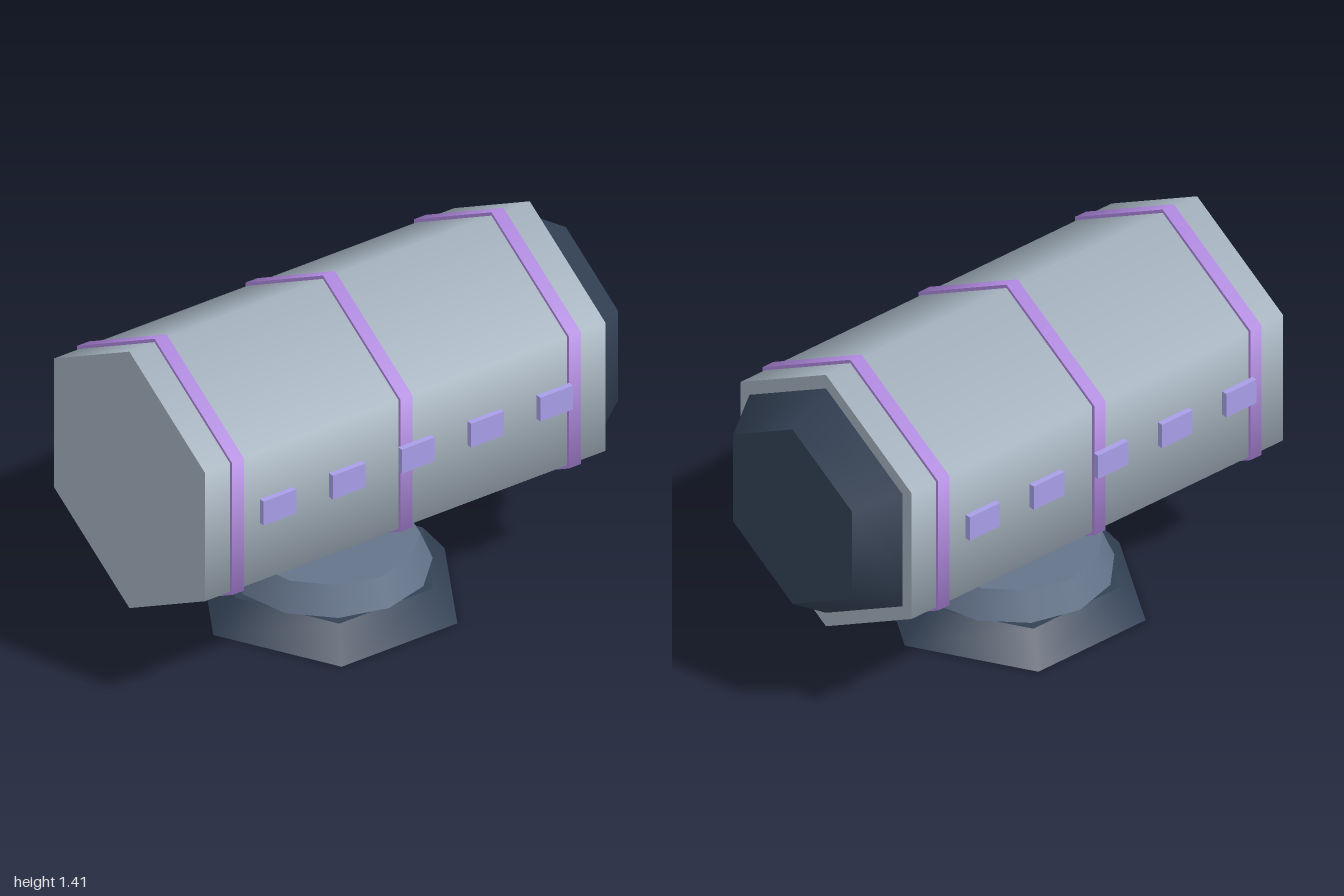
import * as THREE from 'three';

const AXIS_Y = 0.827; // height of the hull's long axis
const MID_Z = 0.085;  // middle of the hull along z

const mat = (color) => new THREE.MeshStandardMaterial({ color });

export function createModel() {
  const model = new THREE.Group();
  model.name = 'hexModule';
  const hullMat = mat(0xa3b1bd);
  const bandMat = mat(0xb088e0);
  const windowMat = mat(0xa89ee8);
  const darkMat = mat(0x334155);
  const slateMat = mat(0x64748b);

  const add = (name, geometry, material, x, y, z) => {
    const mesh = new THREE.Mesh(geometry, material);
    mesh.name = name;
    mesh.position.set(x, y, z);
    model.add(mesh);
  };

  // Hexagonal section lying along z, between a back and a front plane
  const hexSection = (name, rFront, rBack, zFront, zBack, material) => {
    const g = new THREE.CylinderGeometry(rFront, rBack, zFront - zBack, 6).rotateX(Math.PI / 2);
    add(name, g, material, 0, AXIS_Y, (zFront + zBack) / 2);
  };

  // Hull and tapered rear end
  hexSection('hull', 0.568, 0.568, 1, -0.835, hullMat);
  hexSection('rearCone', 0.507, 0.394, -0.835, -1, darkMat);

  // Raised bands around the hull
  for (const i of [-1, 0, 1]) {
    const z = MID_Z + i * 0.772;
    hexSection('band', 0.583, 0.583, z + 0.0275, z - 0.0275, bandMat);
  }

  // Rows of floating windows on both sides
  const pane = new THREE.BoxGeometry(0.024, 0.105, 0.15);
  for (const side of [-1, 1]) {
    for (let i = -2; i <= 2; i++) {
      add('window', pane, windowMat, side * 0.569, 0.902, MID_Z + i * 0.317);
    }
  }

  // Pedestal: hexagonal foot and rounder collar
  add('foot', new THREE.CylinderGeometry(0.43, 0.53, 0.128, 6), darkMat, 0, 0.064, MID_Z);
  add('collar', new THREE.CylinderGeometry(0.343, 0.39, 0.116, 12), slateMat, 0, 0.186, MID_Z);

  return model;
}
